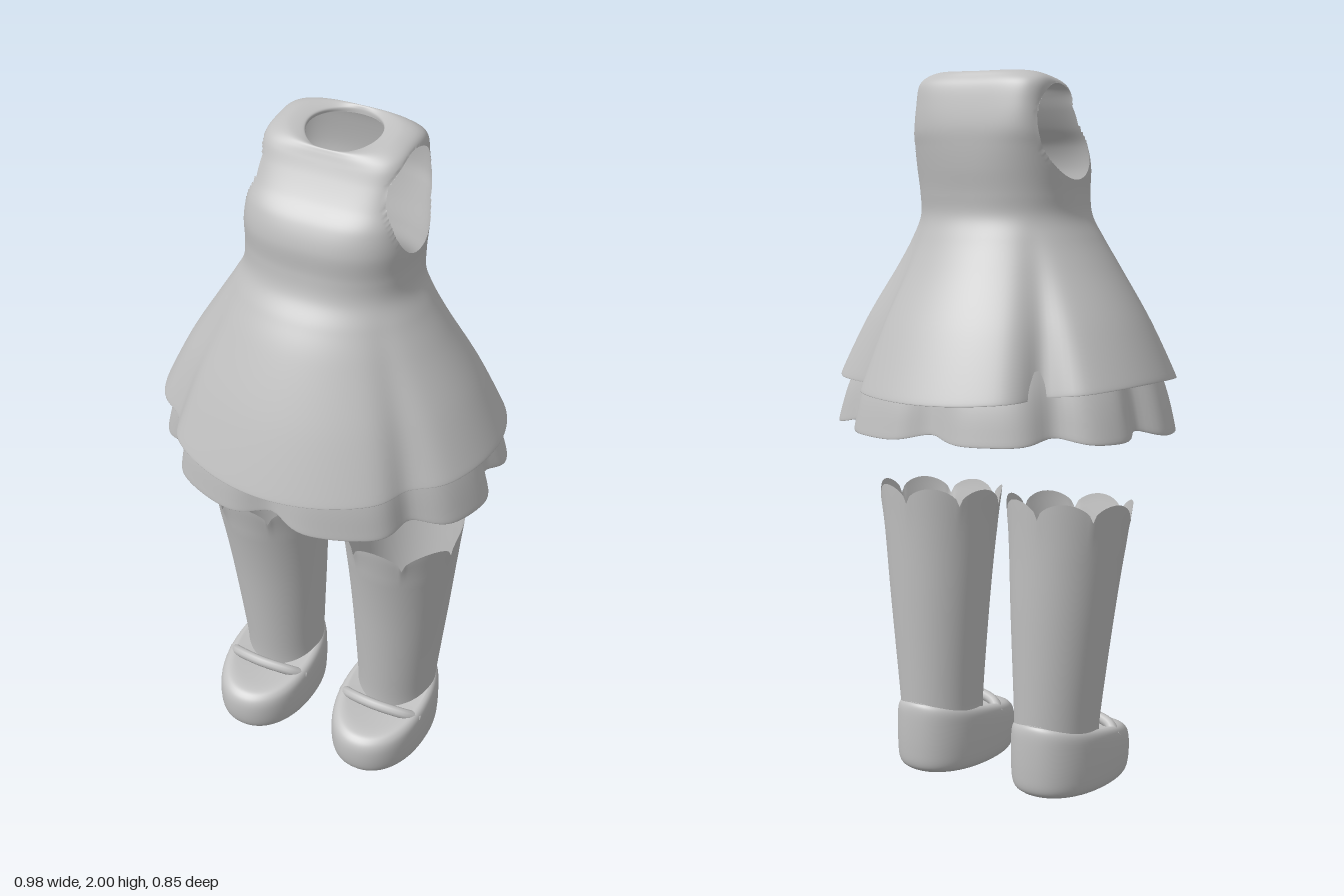
import * as THREE from 'three';

const cloth = new THREE.MeshStandardMaterial({ color: 0xbfbfbf, side: THREE.DoubleSide });
cloth.name = 'plain grey';

const catmull = (a, b, c, d, t) =>
  b + 0.5 * t * (c - a + t * (2 * a - 5 * b + 4 * c - d + t * (3 * (b - c) + d - a)));

// Lofts rings [yFront, yBack, halfWidth, zFront, zBack, roundness, foldDepth, sideLift], bottom to top.
// shape(point, angle, ring, heightFraction) may bend each point; hole cuts oval openings in both sides.
function loft(rings, { seg = 64, sub = 6, shape, hole } = {}) {
  const pos = [], index = [], rows = (rings.length - 1) * sub;
  const p = new THREE.Vector3();
  for (let j = 0; j <= rows; j++) {
    const k = Math.min(Math.floor(j / sub), rings.length - 2), t = j / sub - k;
    const at = i => rings[Math.max(0, Math.min(rings.length - 1, i))];
    const ring = rings[0].map((_, c) => catmull(at(k - 1)[c], at(k)[c], at(k + 1)[c], at(k + 2)[c], t));
    const [yf, yb, rx, zf, zb, n, , lift = 0] = ring;
    for (let i = 0; i < seg; i++) {
      const a = (i / seg) * Math.PI * 2;
      const round = (Math.abs(Math.cos(a)) ** n + Math.abs(Math.sin(a)) ** n) ** (-1 / n);
      const c = Math.cos(a) * round, s = Math.sin(a) * round;
      p.set(rx * c, yf + (yb - yf) * (1 - s) / 2 + lift * c * c, (zf + zb) / 2 + (zf - zb) / 2 * s);
      if (shape) shape(p, a, ring, j / rows);
      pos.push(p.x, p.y, p.z);
    }
  }
  const dropped = new Set(), kept = new Set();
  const oval = (y, z) => Math.hypot((z - hole.z + hole.tilt * (y - hole.y)) / hole.rz, (y - hole.y) / hole.ry);
  for (let j = 0; j < rows; j++) for (let i = 0; i < seg; i++) {
    const a = j * seg + i, b = j * seg + (i + 1) % seg, quad = [a, b, a + seg, b + seg];
    const mid = c => quad.reduce((sum, v) => sum + pos[v * 3 + c], 0) / 4;
    const inside = hole && Math.abs(mid(0)) > 0.12 && oval(mid(1), mid(2)) < 1;
    quad.forEach(v => (inside ? dropped : kept).add(v));
    if (!inside) index.push(a, a + seg, b, b, a + seg, b + seg);
  }
  // Pull the cut edge onto the oval
  for (const v of dropped) if (kept.has(v)) {
    const d = oval(pos[v * 3 + 1], pos[v * 3 + 2]);
    pos[v * 3 + 1] = hole.y + (pos[v * 3 + 1] - hole.y) / d;
    pos[v * 3 + 2] = hole.z + (pos[v * 3 + 2] - hole.z) / d;
  }
  const g = new THREE.BufferGeometry();
  g.setAttribute('position', new THREE.Float32BufferAttribute(pos, 3));
  g.setIndex(index);
  g.computeVertexNormals();
  return g;
}

function add(parent, name, geometry) {
  const mesh = new THREE.Mesh(geometry, cloth);
  mesh.name = name;
  parent.add(mesh);
}

function squeeze(p, f) {
  p.x *= f;
  p.z *= f;
}

// Strength of a narrow vertical fold at a given angle, mirrored left and right
function fold(a, deg) {
  const d = Math.atan2(Math.sin(a), Math.abs(Math.cos(a))) * 180 / Math.PI - deg;
  return Math.exp(-((d / 8) ** 2));
}

// Dress body: rolled hem, flared skirt, waist, shoulders and neckline
function dressGeometry() {
  const rings = [
    [1.165, 1.165, 0.462, 0.395, -0.403, 2, 1, 0.05],
    [1.135, 1.135, 0.474, 0.407, -0.414, 2, 1, 0.05],
    [1.125, 1.125, 0.487, 0.42, -0.425, 2, 1, 0.05],
    [1.14, 1.14, 0.486, 0.418, -0.424, 2, 1, 0.05],
    [1.31, 1.31, 0.415, 0.35, -0.35, 2, 0.65, 0.02],
    [1.47, 1.47, 0.328, 0.275, -0.266, 2, 0.28, 0],
    [1.55, 1.55, 0.278, 0.228, -0.225, 2.1, 0.1, 0],
    [1.61, 1.61, 0.246, 0.188, -0.2, 2.3, 0, 0],
    [1.67, 1.67, 0.238, 0.174, -0.2, 2.5, 0, 0],
    [1.74, 1.74, 0.238, 0.171, -0.208, 2.7, 0, 0],
    [1.8, 1.8, 0.228, 0.148, -0.212, 3.2, 0, 0],
    [1.85, 1.85, 0.214, 0.108, -0.212, 4, 0, 0],
    [1.9, 1.91, 0.205, 0.075, -0.203, 4.5, 0, 0],
    [1.935, 1.962, 0.203, 0.056, -0.19, 4.2, 0, 0.006],
    [1.955, 1.988, 0.188, 0.046, -0.172, 3.3, 0, 0.008],
    [1.964, 1.999, 0.15, 0.04, -0.16, 2.5, 0, 0.01],
    [1.957, 1.991, 0.107, 0.034, -0.154, 2, 0, 0.01],
    [1.945, 1.978, 0.104, 0.032, -0.152, 2, 0, 0.01],
  ];
  return loft(rings, {
    seg: 176, sub: 9,
    hole: { y: 1.838, z: -0.044, ry: 0.128, rz: 0.12, tilt: 0.15 },
    shape: (p, a, ring) => squeeze(p, 1 - ring[6] * (0.13 * fold(a, -48) + 0.07 * fold(a, 39))),
  });
}

// Underskirt of wide petals showing below the hem
function underskirtGeometry() {
  const rings = [
    [1.025, 1.035, 0.483, 0.385, -0.41, 2.1, 1, 0.01],
    [1.007, 1.018, 0.492, 0.392, -0.42, 2.1, 1, 0.01],
    [1.025, 1.035, 0.493, 0.393, -0.42, 2.1, 1, 0.01],
    [1.15, 1.15, 0.458, 0.378, -0.393, 2.1, 0.9, 0],
    [1.3, 1.3, 0.39, 0.325, -0.325, 2, 0.6, 0],
    [1.45, 1.45, 0.32, 0.265, -0.26, 2, 0.25, 0],
  ];
  return loft(rings, {
    seg: 160,
    shape: (p, a, ring) => {
      const notch = [90, 39, -7, -45, -90].reduce((sum, deg) => sum + fold(a, deg), 0) * ring[6];
      squeeze(p, 1 - 0.1 * notch);
      p.y += 0.02 * notch;
    },
  });
}

// Tall sock with seven petals around the top
function sockGeometry() {
  const rings = [
    [0.13, 0.14, 0.12, 0.07, -0.17, 2],
    [0.22, 0.22, 0.122, 0.075, -0.175, 2],
    [0.5, 0.5, 0.146, 0.106, -0.185, 2],
    [0.7, 0.7, 0.164, 0.14, -0.19, 2],
    [0.767, 0.797, 0.177, 0.16, -0.195, 2],
  ];
  return loft(rings, {
    seg: 112, sub: 8,
    shape: (p, a, ring, t) => {
      p.x += 0.02 * (p.y - 0.2) / 0.6;
      p.y += 0.048 * Math.sqrt(Math.abs(Math.cos(3.5 * (a - Math.PI / 2)))) * Math.max(0, t * 4 - 3);
    },
  });
}

// Rounded shoe, low at the toe and rising to the heel collar
function shoeGeometry() {
  return loft([
    [0, 0, 0, 0.03, 0.03, 2.2],
    [0, 0, 0.1, 0.19, -0.14, 2.2],
    [0.004, 0.004, 0.124, 0.222, -0.168, 2.2],
    [0.022, 0.022, 0.138, 0.237, -0.183, 2.2],
    [0.06, 0.07, 0.143, 0.243, -0.187, 2.2],
    [0.1, 0.14, 0.143, 0.24, -0.187, 2.2],
    [0.124, 0.185, 0.138, 0.225, -0.184, 2.2],
    [0.137, 0.204, 0.124, 0.198, -0.176, 2.1],
    [0.14, 0.204, 0.1, 0.13, -0.16, 2],
    [0.14, 0.16, 0, -0.03, -0.03, 2],
  ]);
}

// Arched strap over the instep
function strapGeometry() {
  const path = new THREE.CatmullRomCurve3([
    [-0.128, 0.135, 0.06], [-0.09, 0.16, 0.09], [0, 0.172, 0.107], [0.09, 0.16, 0.09], [0.128, 0.135, 0.06],
  ].map(v => new THREE.Vector3(...v)));
  return new THREE.TubeGeometry(path, 32, 0.016, 10);
}

export function createModel() {
  const model = new THREE.Group();
  model.name = 'outfit';
  add(model, 'dress', dressGeometry());
  add(model, 'underskirt', underskirtGeometry());

  const parts = { sock: sockGeometry(), shoe: shoeGeometry(), strap: strapGeometry() };
  for (const side of [1, -1]) {
    const leg = new THREE.Group();
    leg.name = side > 0 ? 'leftLeg' : 'rightLeg';
    leg.position.x = side * 0.198;
    leg.scale.x = side;
    for (const [name, geometry] of Object.entries(parts)) add(leg, name, geometry);
    model.add(leg);
  }
  return model;
}
